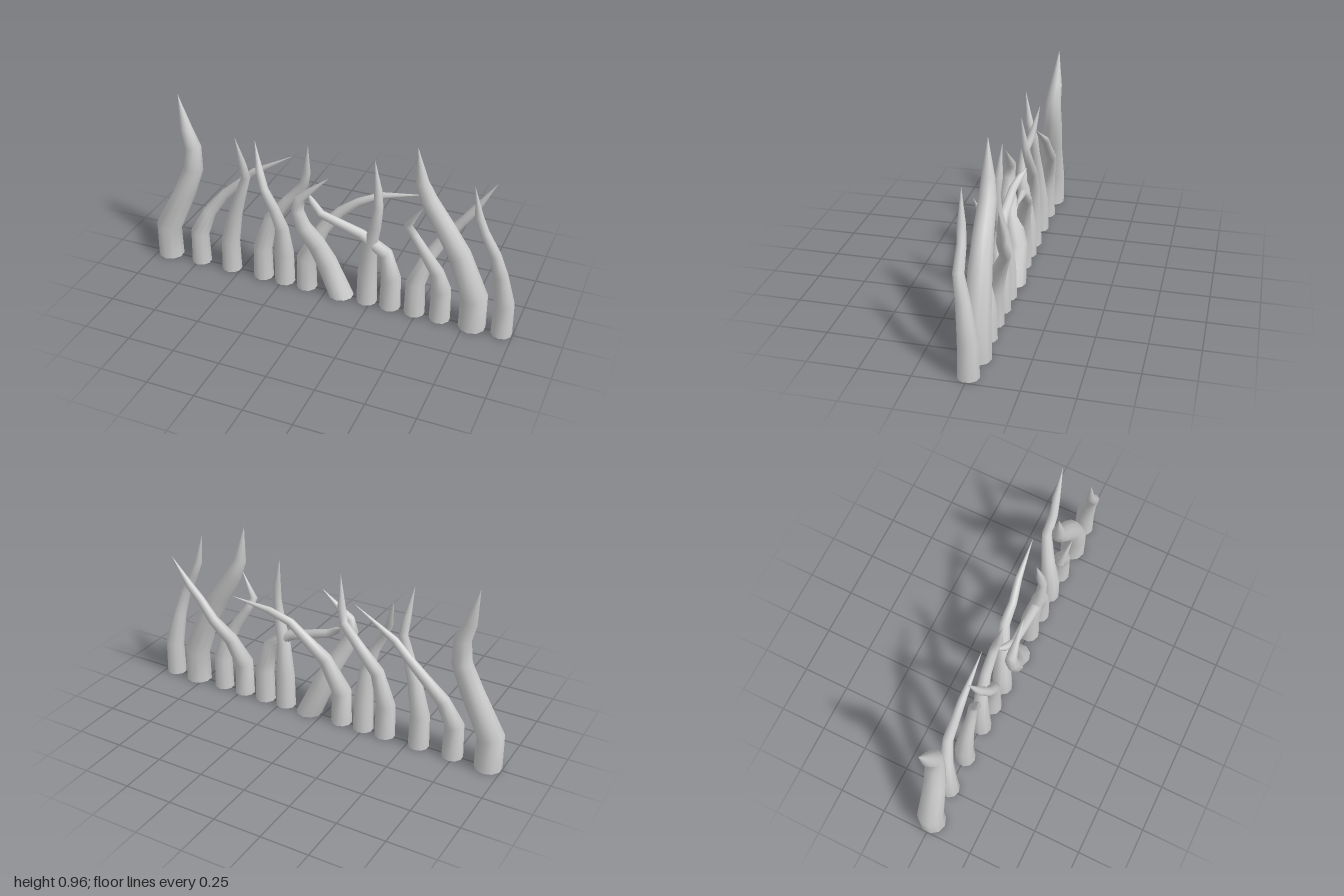
import * as THREE from 'three';

const SIDES = 10;
const FOOT = 0.18; // height of the straight foot
const material = new THREE.MeshStandardMaterial({ color: 0xcccccc, side: THREE.DoubleSide });

// Heights of the upper rings as fractions of the tip height
const UPRIGHT = [0.43, 0.58, 0.71, 0.81, 1];
const ARCHED = [0.58, 0.74, 0.86, 0.94, 1];

// Taper holds ring radii relative to the base radius; footShift leans the foot sideways
const STYLES = {
  stout: { radius: 0.07, heights: UPRIGHT, taper: [1, 0.98, 0.82, 0.72, 0.62, 0.47, 0], footShift: 0 },
  slender: { radius: 0.054, heights: UPRIGHT, taper: [1, 0.92, 0.67, 0.52, 0.43, 0.38, 0], footShift: 0 },
  arched: { radius: 0.055, heights: ARCHED, taper: [1, 0.93, 0.66, 0.5, 0.4, 0.33, 0], footShift: 0 },
  leaning: { radius: 0.068, heights: UPRIGHT, taper: [1, 0.83, 0.72, 0.63, 0.49, 0.4, 0], footShift: -0.08 },
};

// Style, base x, tip height, z of the bow, z of the tip, x of the upper rings
const STALKS = [
  ['stout', -.93, .96, -.03, -.045, [-.82, -.768, -.763, -.8, -.84]],
  ['slender', -.74, .73, -.055, -.055, [-.685, -.6, -.5, -.43, -.21]],
  ['slender', -.555, .84, .01, .06, [-.515, -.475, -.443, -.447, -.47]],
  ['slender', -.365, .84, -.03, 0, [-.32, -.225, -.135, -.115, -.1]],
  ['slender', -.24, .79, .035, -.03, [-.245, -.278, -.33, -.368, -.405]],
  ['arched', -.113, .63, -.065, -.11, [-.03, .055, .15, .26, .47]],
  ['leaning', .08, .71, .07, .05, [-.045, -.1, -.13, -.12, .03]],
  ['slender', .225, .84, .033, .01, [.243, .275, .288, .28, .255]],
  ['arched', .353, .56, .025, -.025, [.325, .2, -.02, -.08, -.115]],
  ['slender', .485, .77, -.09, -.117, [.535, .61, .685, .74, .83]],
  ['slender', .62, .68, .04, .08, [.595, .54, .48, .45, .53]],
  ['stout', .79, .96, .01, .022, [.7, .615, .535, .497, .47]],
  ['slender', .943, .84, .052, .065, [.915, .885, .825, .795, .765]],
];

// Centre line: a foot on the ground, then rings that bow in z towards the tip
function centreLine(style, baseX, top, bow, tipZ, xs) {
  const depths = [bow / 2, bow, bow, (bow + tipZ) / 2, tipZ];
  return [
    new THREE.Vector3(baseX, 0, 0),
    new THREE.Vector3(baseX + style.footShift, FOOT, 0),
    ...xs.map((x, i) => new THREE.Vector3(x, top * style.heights[i], depths[i])),
  ];
}

// Tapered tube with a ring square to the path at every point, open at the base
function stalkGeometry(centers, style) {
  const positions = [];
  const indices = [];
  const direction = (i) => centers[i + 1].clone().sub(centers[i]).normalize();
  const last = centers.length - 1;
  centers.forEach((center, i) => {
    const tangent = new THREE.Vector3(0, 1, 0);
    if (i > 0) {
      tangent.copy(direction(i - 1)).add(direction(Math.min(i, last - 1))).normalize();
    }
    const u = new THREE.Vector3(0, 0, 1).addScaledVector(tangent, -tangent.z).normalize();
    const v = new THREE.Vector3().crossVectors(tangent, u);
    const r = Math.max(style.radius * style.taper[i], 0.0008);
    for (let j = 0; j < SIDES; j++) {
      const a = (j / SIDES) * Math.PI * 2;
      const p = center.clone()
        .addScaledVector(u, r * Math.cos(a))
        .addScaledVector(v, r * Math.sin(a));
      positions.push(p.x, p.y, p.z);
      if (i > 0) {
        const next = (j + 1) % SIDES;
        const lo = (i - 1) * SIDES;
        const hi = i * SIDES;
        indices.push(lo + j, lo + next, hi + next, lo + j, hi + next, hi + j);
      }
    }
  });
  const geometry = new THREE.BufferGeometry();
  geometry.setAttribute('position', new THREE.Float32BufferAttribute(positions, 3));
  geometry.setIndex(indices);
  geometry.computeVertexNormals();
  return geometry;
}

export function createModel() {
  const group = new THREE.Group();
  group.name = 'thornRow';
  STALKS.forEach(([styleName, ...shape], i) => {
    const style = STYLES[styleName];
    const stalk = new THREE.Mesh(stalkGeometry(centreLine(style, ...shape), style), material);
    stalk.name = `${styleName}Thorn${i + 1}`;
    group.add(stalk);
  });
  return group;
}
